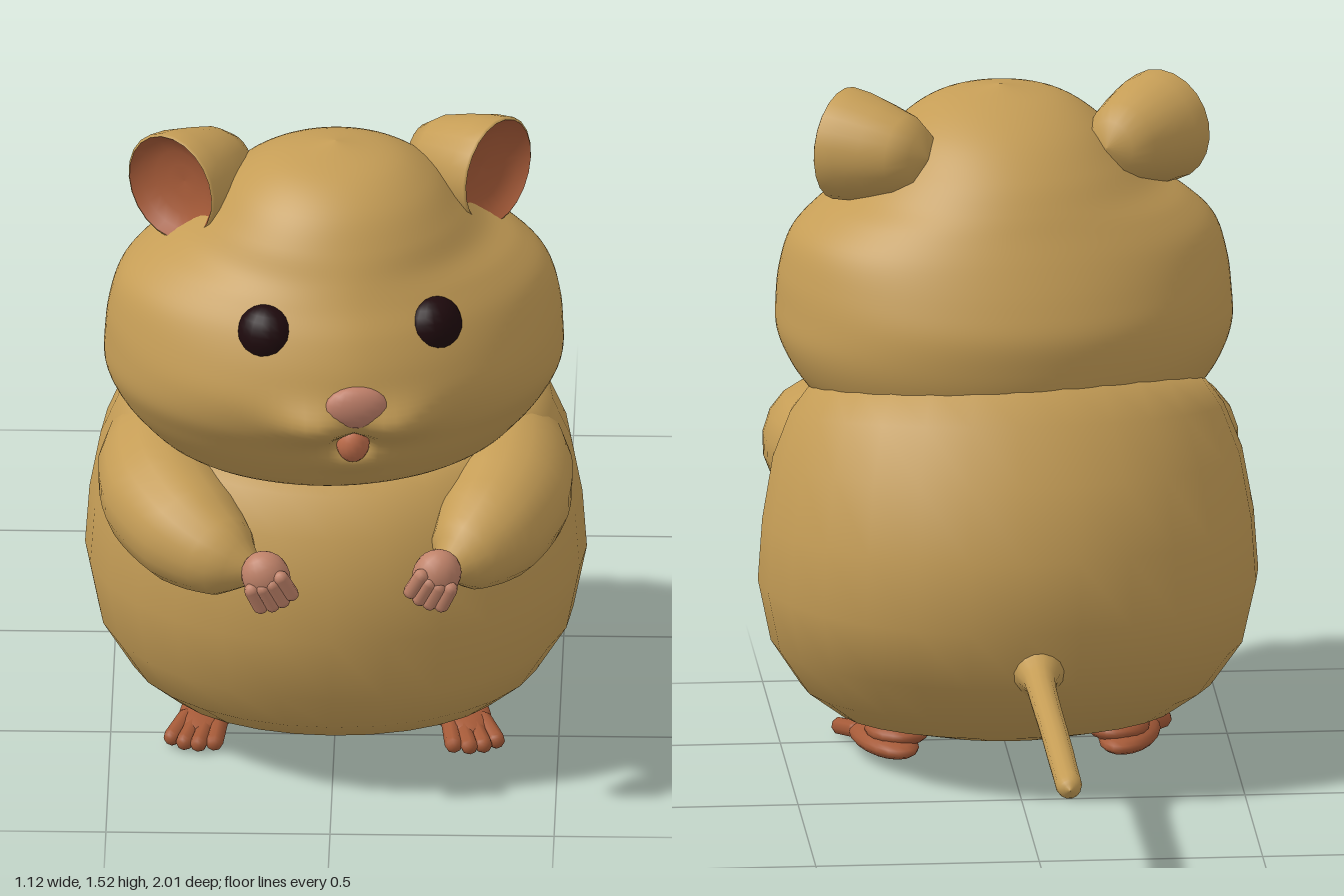
import * as THREE from 'three';

const mat = (name, color) => Object.assign(new THREE.MeshStandardMaterial({ color }), { name });

// Smooth skin over a list of closed rings (arrays of Vector3)
function loft(rings) {
  const n = rings[0].length, pos = [], idx = [];
  rings.forEach(r => r.forEach(p => pos.push(p.x, p.y, p.z)));
  for (let j = 0; j < rings.length - 1; j++) {
    for (let i = 0; i < n; i++) {
      const a = j * n + i, b = j * n + (i + 1) % n;
      idx.push(a, b, a + n, b, b + n, a + n);
    }
  }
  const g = new THREE.BufferGeometry();
  g.setAttribute('position', new THREE.Float32BufferAttribute(pos, 3));
  g.setIndex(idx);
  g.computeVertexNormals();
  return g;
}

// Rounded cross-section: [back y, front y, half width, back z, front z, front roundness]
function section([yb, yf, hw, zb, zf, k = 2], sides) {
  const zc = (zb + zf) / 2, out = [];
  for (let i = 0; i < sides; i++) {
    const a = i / sides * Math.PI * 2, s = Math.sin(a), c = Math.cos(a);
    const e = c > 0 ? k : 2;
    const r = Math.pow(Math.pow(Math.abs(s), e) + Math.pow(Math.abs(c), e), -1 / e);
    const t = (c * r + 1) / 2;
    out.push(new THREE.Vector3(hw * s * r, yb + (yf - yb) * t, zc + (zf - zb) / 2 * c * r));
  }
  return out;
}

// Resample rings along smooth curves through their matching points
function refine(rings, count) {
  const curves = rings[0].map((_, i) => new THREE.CatmullRomCurve3(rings.map(r => r[i])));
  return Array.from({ length: count + 1 }, (_, j) => curves.map(c => c.getPoint(j / count)));
}

// Tapered limb along a curve, with radii spread evenly over its length
function limb(points, radii, steps = 14, sides = 14) {
  const curve = new THREE.CatmullRomCurve3(points.map(p => new THREE.Vector3(...p)));
  const f = curve.computeFrenetFrames(steps, false), rings = [];
  for (let j = 0; j <= steps; j++) {
    const t = j / steps, u = t * (radii.length - 1), k = Math.min(Math.floor(u), radii.length - 2);
    const r = THREE.MathUtils.lerp(radii[k], radii[k + 1], u - k), c = curve.getPoint(t), ring = [];
    for (let i = 0; i < sides; i++) {
      const a = i / sides * Math.PI * 2;
      ring.push(c.clone().addScaledVector(f.normals[j], r * Math.cos(a)).addScaledVector(f.binormals[j], r * Math.sin(a)));
    }
    rings.push(ring);
  }
  return loft(rings);
}

const bump = (dx, sx, dy, sy) => Math.exp(-((dx / sx) ** 2) - (dy / sy) ** 2);

export function createModel() {
  const fur = mat('goldenFur', 0xc59d56);
  const skin = mat('russetSkin', 0xa55a38);
  const paw = mat('pawPink', 0xbf8269);
  const nosePink = mat('nosePink', 0xc0806a);
  const tongueRed = mat('tongueOrange', 0xc06e4c);
  const dark = mat('eyeBlack', 0x1e0a0d);

  const model = new THREE.Group();
  const add = (parent, name, geo, m) => {
    const mesh = new THREE.Mesh(geo, m);
    mesh.name = name;
    parent.add(mesh);
    return mesh;
  };
  const blob = (parent, name, m, p, s) => {
    const mesh = add(parent, name, new THREE.SphereGeometry(1, 18, 12), m);
    mesh.position.set(...p);
    mesh.scale.set(...s);
    return mesh;
  };
  // Capsule between two points
  const digit = (parent, name, m, p, q, r) => {
    const a = new THREE.Vector3(...p), b = new THREE.Vector3(...q), d = b.clone().sub(a);
    const mesh = add(parent, name, new THREE.CapsuleGeometry(r, d.length(), 4, 8), m);
    mesh.position.copy(a).add(b).multiplyScalar(0.5);
    mesh.quaternion.setFromUnitVectors(new THREE.Vector3(0, 1, 0), d.normalize());
  };

  // Pear-shaped body, its collar sloping down to the front
  add(model, 'body', loft([
    [0.06, 0.06, 0, 0.43, 0.43], [0.06, 0.06, 0.22, 0.28, 0.6], [0.1, 0.1, 0.38, 0.16, 0.7],
    [0.17, 0.16, 0.46, 0.04, 0.78], [0.28, 0.27, 0.53, -0.08, 0.865], [0.42, 0.42, 0.56, -0.125, 0.885],
    [0.58, 0.54, 0.55, -0.115, 0.88], [0.74, 0.66, 0.525, -0.055, 0.85], [0.86, 0.74, 0.485, 0.03, 0.79],
    [0.94, 0.78, 0.44, 0.09, 0.74], [0.97, 0.8, 0.25, 0.2, 0.66], [0.97, 0.85, 0, 0.45, 0.45],
  ].map(s => section(s, 28))), fur);

  // Tail
  add(model, 'tail', limb([[-0.03, 0.33, -0.05], [-0.03, 0.315, -0.2], [-0.03, 0.315, -0.6], [-0.03, 0.31, -0.95], [-0.03, 0.31, -1]],
    [0.085, 0.05, 0.036, 0.033, 0.032, 0.031, 0.031, 0.031, 0.03, 0.03, 0.027, 0.02, 0], 36), fur);

  // Head, turned slightly to its left
  const head = new THREE.Group();
  head.name = 'head';
  head.position.z = 0.53;
  head.rotation.y = 0.13;
  model.add(head);
  const skull = refine([
    [0.74, 0.74, 0, 0, 0], [0.75, 0.75, 0.25, -0.25, 0.2], [0.79, 0.78, 0.38, -0.36, 0.28], [0.85, 0.85, 0.45, -0.42, 0.345],
    [0.91, 0.91, 0.49, -0.445, 0.385], [0.97, 0.97, 0.512, -0.455, 0.42], [1.04, 1.04, 0.512, -0.455, 0.445, 1.9],
    [1.11, 1.11, 0.505, -0.43, 0.435, 1.8], [1.19, 1.19, 0.48, -0.39, 0.4, 1.75], [1.25, 1.25, 0.42, -0.355, 0.36, 1.8],
    [1.3, 1.3, 0.345, -0.325, 0.33, 1.85], [1.36, 1.36, 0.285, -0.28, 0.295], [1.43, 1.43, 0.22, -0.2, 0.24],
    [1.48, 1.48, 0.14, -0.1, 0.16], [1.51, 1.51, 0, 0.02, 0.02],
  ].map(s => section(s, 110)), 80);
  // Muzzle lobes, chin and open mouth pressed into the face
  skull.flat().filter(p => p.z > 0).forEach(p => {
    p.z += 0.045 * bump(Math.abs(p.x) - 0.09, 0.085, p.y - 1.0, 0.05)
      + 0.02 * bump(p.x, 0.08, p.y - 0.88, 0.04)
      - 0.055 * bump(p.x, 0.042, p.y - 0.94, 0.035);
  });
  add(head, 'skull', loft(skull), fur);

  // Face
  blob(head, 'nose', nosePink, [0, 1.053, 0.442], [0.072, 0.05, 0.03]);
  blob(head, 'tongue', tongueRed, [0, 0.935, 0.375], [0.038, 0.047, 0.04]);
  for (const s of [-1, 1]) {
    const eye = blob(head, 'eye', dark, [s * 0.19, 1.19, 0.322], [0.066, 0.065, 0.053]);
    eye.rotation.set(-0.2, s * 0.55, 0, 'YXZ');

    // Cupped ear: furry back and bare inside
    const ear = new THREE.Group();
    ear.name = 'ear';
    ear.position.set(s * 0.365, 1.4, -0.005);
    ear.quaternion.setFromUnitVectors(new THREE.Vector3(0, 1, 0), new THREE.Vector3(s * 0.73, 0.02, 0.68).normalize());
    head.add(ear);
    const cup = pts => new THREE.LatheGeometry(pts.map(p => new THREE.Vector2(...p)), 22);
    add(ear, 'earBack', cup([[0, -0.22], [0.06, -0.205], [0.09, -0.16], [0.108, -0.1], [0.122, -0.045], [0.127, 0], [0.121, 0.004]]), fur);
    add(ear, 'earInside', cup([[0.121, 0.004], [0.105, -0.018], [0.075, -0.033], [0.04, -0.041], [0, -0.044]]), skin);
  }

  // Arms and paws
  const arms = [
    { s: 1, path: [[-0.33, 0.7, 0.25], [-0.385, 0.69, 0.46], [-0.37, 0.665, 0.67], [-0.27, 0.63, 0.84], [-0.14, 0.605, 0.93]], hand: [-0.138, 0.6, 0.935] },
    { s: -1, path: [[0.33, 0.7, 0.25], [0.385, 0.69, 0.45], [0.385, 0.665, 0.66], [0.32, 0.635, 0.82], [0.235, 0.61, 0.92]], hand: [0.23, 0.605, 0.928] },
  ];
  for (const { s, path, hand } of arms) {
    add(model, 'arm', limb(path, [0.04, 0.12, 0.14, 0.142, 0.125, 0.085, 0], 24, 18), fur);
    const h = new THREE.Group();
    h.name = 'hand';
    h.position.set(...hand);
    h.rotation.z = s * 0.45;
    model.add(h);
    blob(h, 'palm', paw, [0, 0.015, 0], [0.054, 0.06, 0.047]);
    for (let i = 0; i < 4; i++) {
      const x = -0.036 + i * 0.024, y = -0.04 + Math.abs(x) * 0.3;
      digit(h, 'finger', paw, [x, y + 0.04, 0.034], [x * 1.05, y - 0.008, 0.024], 0.0175);
    }
  }

  // Feet with fanned toes
  for (const s of [-1, 1]) {
    const foot = new THREE.Group();
    foot.name = 'foot';
    foot.position.set(s * 0.275, 0, 0.42);
    foot.rotation.y = s * 0.25;
    model.add(foot);
    blob(foot, 'sole', skin, [0, 0.034, 0], [0.066, 0.03, 0.15]);
    blob(foot, 'ankle', skin, [-s * 0.02, 0.06, -0.03], [0.07, 0.03, 0.09]);
    for (let i = 0; i < 4; i++) {
      const x = -0.045 + i * 0.03;
      digit(foot, 'toe', skin, [x * 0.85, 0.036, 0.08], [x * 1.08, 0.024, 0.18 - Math.abs(x) * 0.5], 0.02);
    }
  }
  return model;
}
